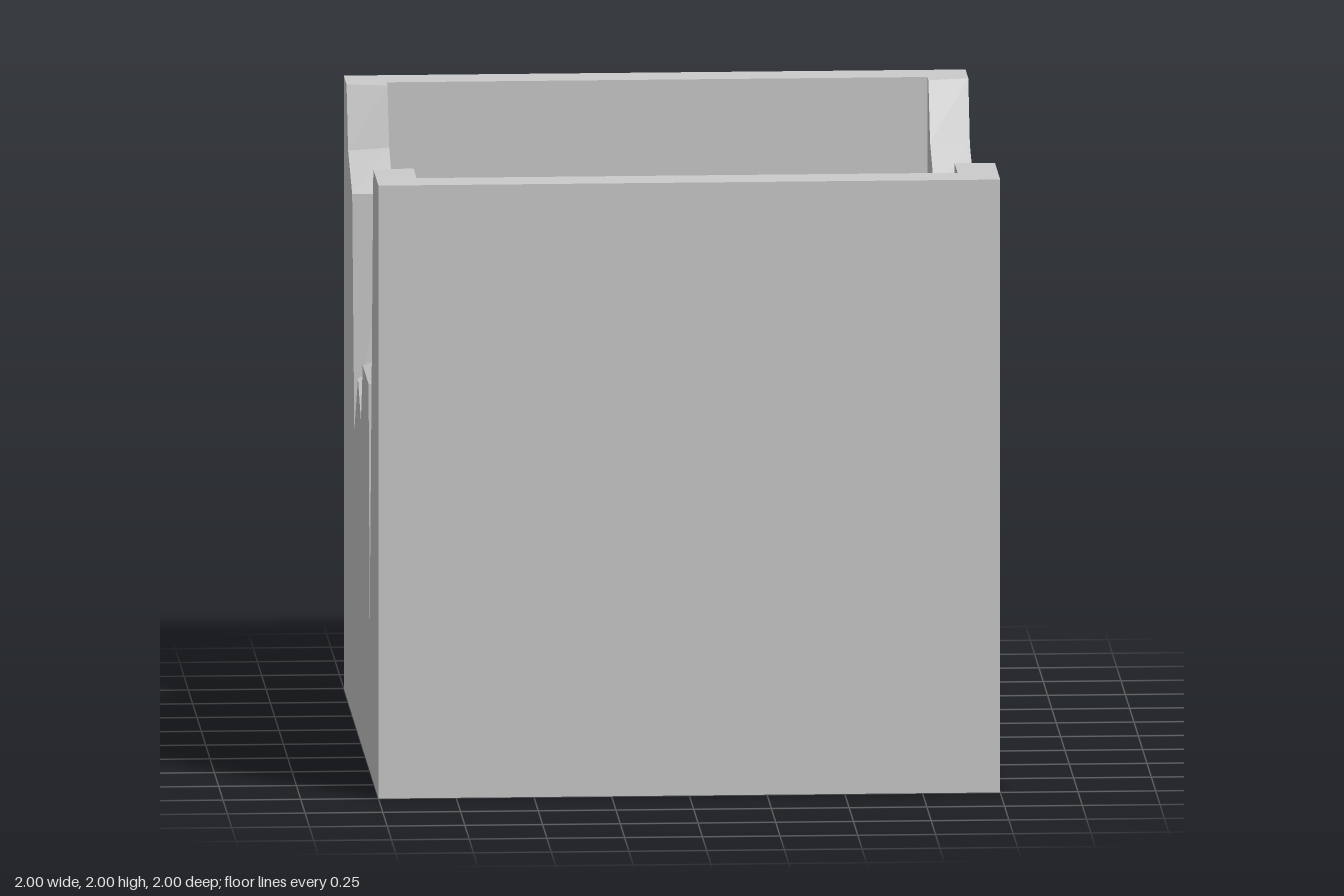
import * as THREE from 'three';

const WALL = 0.13;

// Broken edge of a side wall, as [z, y], from back to front
const outerEdge = [
  [-0.84, 2], [-0.75, 1.8], [-0.515, 1.7], [-0.395, 0.95], [-0.18, 1.16],
  [-0.013, 1.05], [0.093, 1.25], [0.43, 1.25], [0.495, 0.48], [0.703, 2],
];
const innerEdge = [
  [-0.81, 2], [-0.715, 1.815], [-0.48, 1.705], [-0.38, 0.985], [-0.165, 1.22],
  [-0.013, 1.07], [0.103, 1.3], [0.448, 1.28], [0.492, 0.55], [0.696, 2],
];

// Side wall: extruded outline whose inside face follows the inner edge
function sideWallGeometry(side) {
  const outline = [[-1, 0], [-1, 2], ...outerEdge, [1, 2], [1, 0]];
  const shape = new THREE.Shape(outline.map(([z, y]) => new THREE.Vector2(side * z, y)));
  const geometry = new THREE.ExtrudeGeometry(shape, { depth: WALL, bevelEnabled: false });
  const pos = geometry.attributes.position;
  for (let i = 0; i < pos.count; i++) {
    if (pos.getZ(i) < WALL / 2) continue;
    const k = outerEdge.findIndex(([z, y]) =>
      Math.hypot(side * z - pos.getX(i), y - pos.getY(i)) < 0.001);
    if (k >= 0) pos.setXY(i, side * innerEdge[k][0], innerEdge[k][1]);
  }
  geometry.rotateY(-side * Math.PI / 2);
  geometry.translate(side, 0, 0);
  geometry.computeVertexNormals();
  return geometry;
}

export function createModel() {
  const group = new THREE.Group();
  group.name = 'brokenBox';
  const stone = new THREE.MeshStandardMaterial({ color: 0xcccccc });
  stone.name = 'plainGrey';

  const add = (name, geometry, x = 0, y = 0, z = 0) => {
    const mesh = new THREE.Mesh(geometry, stone);
    mesh.name = name;
    mesh.position.set(x, y, z);
    group.add(mesh);
  };

  // Jagged side walls
  add('leftWall', sideWallGeometry(1));
  add('rightWall', sideWallGeometry(-1));

  // Intact front and back walls
  const span = 2 - 2 * WALL;
  for (const [name, s] of [['frontWall', 1], ['backWall', -1]]) {
    add(name, new THREE.BoxGeometry(span, 2, WALL), 0, 1, s * (1 - WALL / 2));
  }

  // Floor slab
  add('floor', new THREE.BoxGeometry(span, WALL, span), 0, WALL / 2, 0);

  return group;
}
